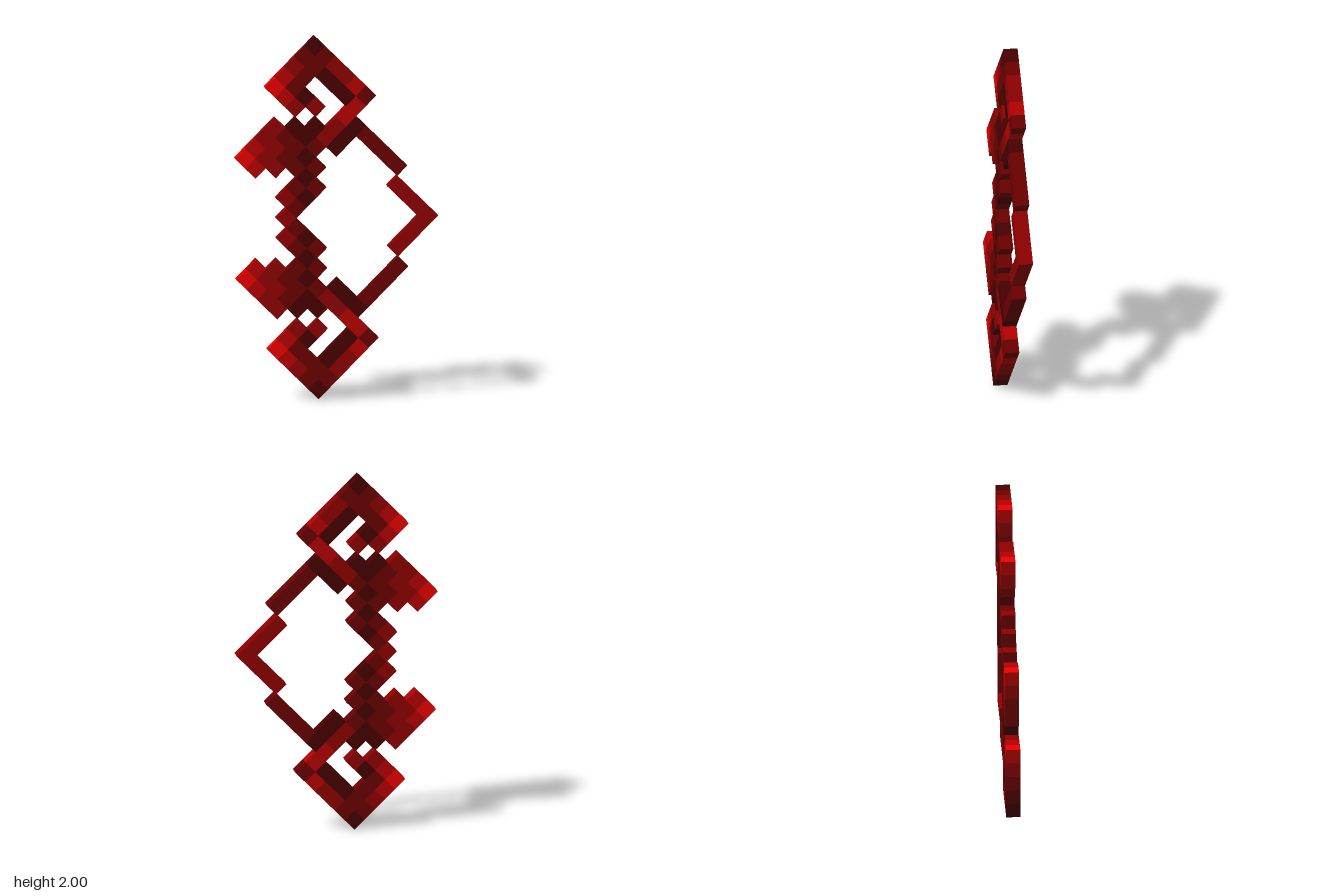
import * as THREE from 'three';
import { mergeGeometries } from 'three/addons/utils/BufferGeometryUtils.js';

// Half the diagonal of one cube; cubes stand on their corners
const H = 2 / 36.05;
const S = H * Math.SQRT2;

// Upper half as a cube map: row a runs down-right, column b runs down-left.
// Digits are tones from bright (1) to dark (5), dots are gaps.
const ROWS = [
  '54321',
  '44442',
  '35.53.3321',
  '35.3.54332',
  '25..55443',
  '42233454',
  '..555.4543',
  '..4....4543',
  '..4', '..4', '..4',
  '...3', '...3', '...3', '...3',
];

const TONES = [
  ['brightRed', 0xe80000],
  ['red', 0xb20000],
  ['deepRed', 0x8c0000],
  ['maroon', 0x690000],
  ['darkMaroon', 0x460000],
];

function partName(a, b) {
  if (a <= 5 && b <= 4) return 'Scroll';
  if (a >= 6 && b <= 4) return 'OuterLimb';
  return 'InnerGrip';
}

export function createModel() {
  const materials = TONES.map(([name, color]) => {
    const m = new THREE.MeshStandardMaterial({ color });
    m.name = name;
    return m;
  });

  // Collect cubes by part and tone, mirrored into the lower half
  const parts = {};
  const addCube = (name, tone, i, j) => {
    const g = new THREE.BoxGeometry(S, S, S);
    g.rotateZ(Math.PI / 4);
    g.translate((i - 2) * H, (17 - j) * H, 0);
    parts[name] ??= TONES.map(() => []);
    parts[name][tone].push(g);
  };
  ROWS.forEach((row, a) => {
    [...row].forEach((c, b) => {
      if (c === '.') return;
      const tone = Number(c) - 1;
      const i = a - b, j = a + b;
      addCube('upper' + partName(a, b), tone, i, j);
      if (j !== 17) addCube('lower' + partName(a, b), tone, i, 34 - j);
    });
  });

  const body = new THREE.Group();
  body.name = 'body';
  for (const [name, byTone] of Object.entries(parts)) {
    const part = new THREE.Group();
    part.name = name;
    byTone.forEach((list, t) => {
      if (!list.length) return;
      const mesh = new THREE.Mesh(mergeGeometries(list), materials[t]);
      mesh.name = name + 'Cubes' + (t + 1);
      part.add(mesh);
    });
    body.add(part);
  }

  // Slight lean of the whole flat piece
  body.rotation.set(-0.03, 0.133, 0.012);
  body.position.y = 1;

  const model = new THREE.Group();
  model.name = 'cubeBow';
  model.add(body);
  return model;
}
